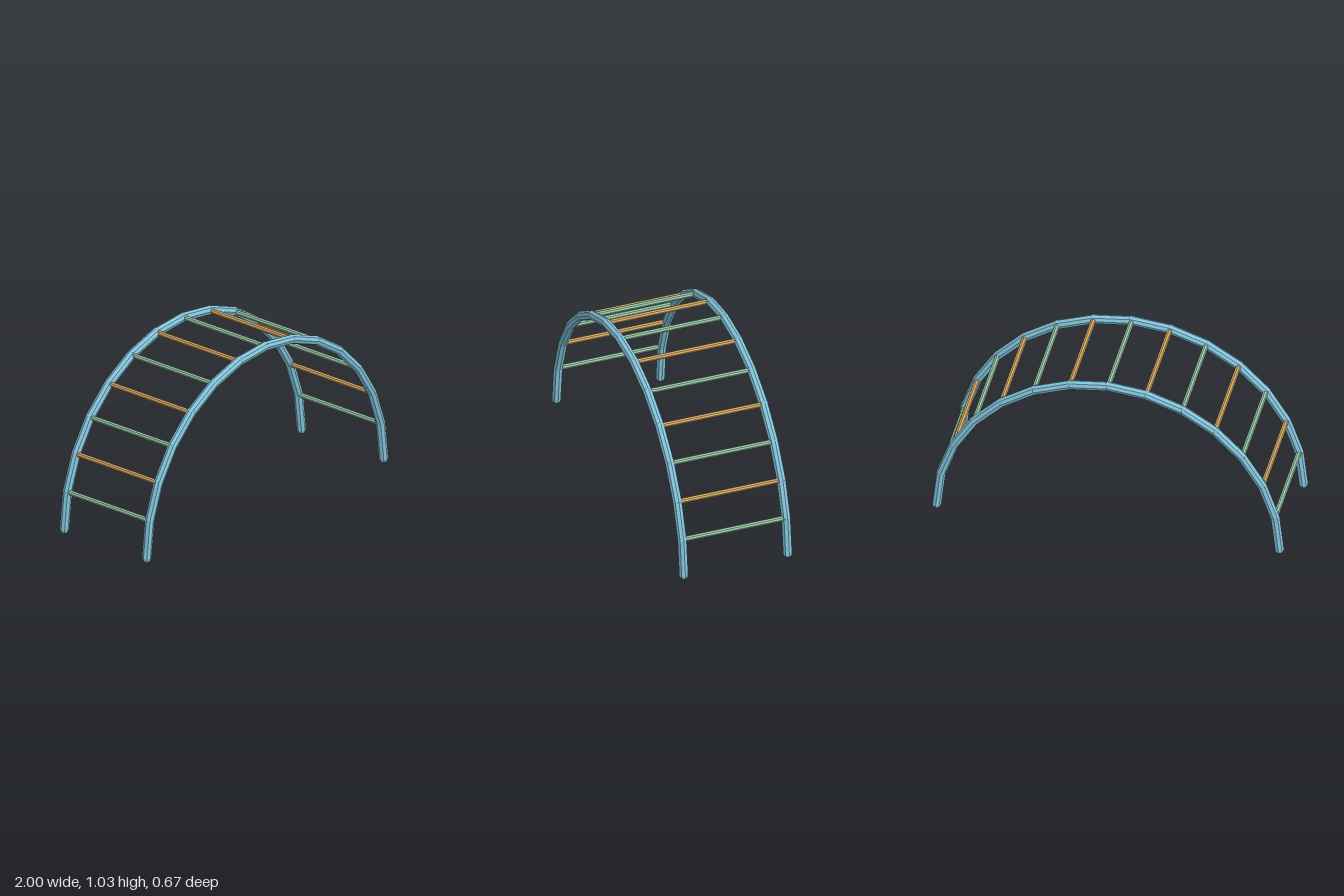
import * as THREE from 'three';

const SEGMENTS = 14;      // straight tubes per half-circle rail
const ARC_R = 0.973;
const TUBE_R = 0.027;
const RUNG_R = 0.0155;
const RAIL_Z = 0.309;

const flat = (name, color) => {
  const m = new THREE.MeshStandardMaterial({ color, flatShading: true });
  m.name = name;
  return m;
};

export function createModel() {
  const blue = flat('skyBlue', 0x84c5dc);
  const green = flat('softGreen', 0x9acbaa);
  const tan = flat('warmTan', 0xd9ac66);

  const model = new THREE.Group();
  model.name = 'archClimber';

  // joints spaced evenly along a half circle standing on the ground
  const joints = [];
  for (let i = 0; i <= SEGMENTS; i++) {
    const a = Math.PI * (i / SEGMENTS);
    joints.push(new THREE.Vector2(-ARC_R * Math.cos(a), TUBE_R + ARC_R * Math.sin(a)));
  }

  const add = (parent, name, geometry, material, x, y, z) => {
    const mesh = new THREE.Mesh(geometry, material);
    mesh.name = name;
    mesh.position.set(x, y, z);
    parent.add(mesh);
    return mesh;
  };

  // two side rails: straight tubes with ball joints and rounded feet
  const ball = new THREE.SphereGeometry(TUBE_R, 8, 6);
  const tube = new THREE.CylinderGeometry(TUBE_R, TUBE_R, joints[0].distanceTo(joints[1]), 8);
  for (const side of [1, -1]) {
    const rail = new THREE.Group();
    rail.name = side > 0 ? 'frontRail' : 'backRail';
    model.add(rail);
    joints.forEach((p, i) => {
      const isFoot = i === 0 || i === SEGMENTS;
      add(rail, isFoot ? 'foot' : 'joint', ball, blue, p.x, p.y, side * RAIL_Z);
      if (i === SEGMENTS) return;
      const q = joints[i + 1];
      const seg = add(rail, 'railTube', tube, blue, (p.x + q.x) / 2, (p.y + q.y) / 2, side * RAIL_Z);
      seg.rotation.z = Math.atan2(q.y - p.y, q.x - p.x) - Math.PI / 2;
    });
  }

  // rungs at every inner joint, alternating colours
  const bar = new THREE.CylinderGeometry(RUNG_R, RUNG_R, RAIL_Z * 2, 8).rotateX(Math.PI / 2);
  for (let i = 1; i < SEGMENTS; i++) {
    add(model, 'rung', bar, i % 2 ? green : tan, joints[i].x, joints[i].y, 0);
  }
  return model;
}
